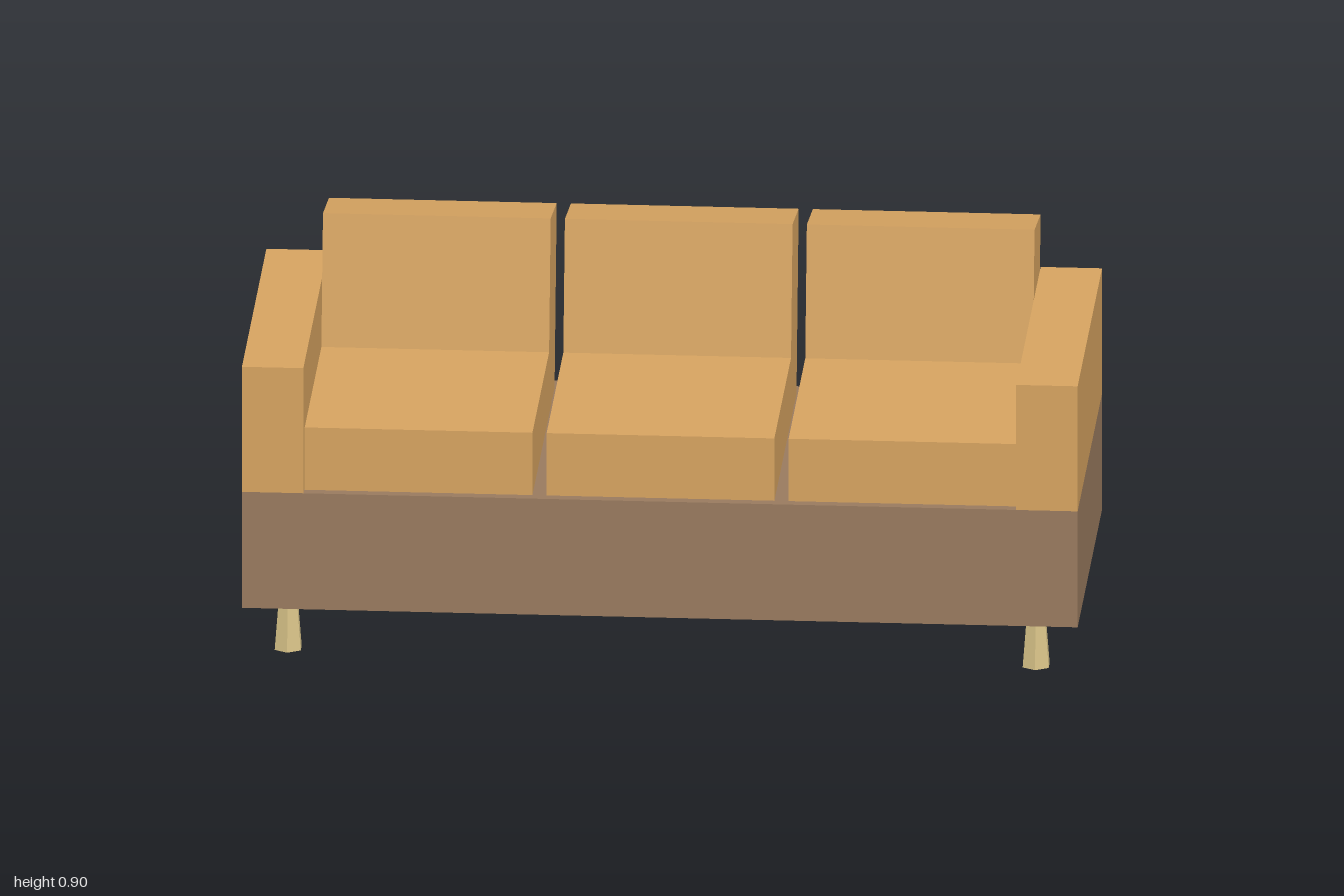
import * as THREE from 'three';

export function createModel() {
  const sofa = new THREE.Group();
  sofa.name = 'sofa';

  const material = (name, color) => {
    const m = new THREE.MeshStandardMaterial({ color });
    m.name = name;
    return m;
  };
  const fabric = material('tan upholstery', 0xd6a360);
  const brown = material('brown base', 0x997a5e);
  const wood = material('pale wood', 0xd8c388);

  const add = (name, geometry, mat, x, y, z) => {
    const mesh = new THREE.Mesh(geometry, mat);
    mesh.name = name;
    mesh.position.set(x, y, z);
    sofa.add(mesh);
    return mesh;
  };

  // Base and arms share the same depth
  const front = 0.43, back = -0.41;
  const depth = front - back, midZ = (front + back) / 2;
  const legTop = 0.128, baseTop = 0.422, armTop = 0.739, armWidth = 0.147;
  add('base', new THREE.BoxGeometry(2, baseTop - legTop, depth), brown,
    0, (baseTop + legTop) / 2, midZ);
  for (const [side, s] of [['left', 1], ['right', -1]]) {
    add(side + 'Arm', new THREE.BoxGeometry(armWidth, armTop - baseTop, depth), fabric,
      s * (1 - armWidth / 2), (armTop + baseTop) / 2, midZ);
  }

  // Three seat cushions and three back cushions leaning backwards
  const cushionWidth = 0.545, pitch = 0.579;
  const seatTop = 0.58, seatFront = 0.405, seatBack = -0.25;
  const tilt = THREE.MathUtils.degToRad(-9.6);
  const backDepth = 0.211, backHeight = 0.46;
  const backGeometry = new THREE.BoxGeometry(cushionWidth, backHeight, backDepth);
  backGeometry.translate(0, -backHeight / 2, -backDepth / 2); // pivot on the top front edge
  ['right', 'middle', 'left'].forEach((place, i) => {
    const x = (i - 1) * pitch;
    add(place + 'SeatCushion',
      new THREE.BoxGeometry(cushionWidth, seatTop - baseTop, seatFront - seatBack), fabric,
      x, (seatTop + baseTop) / 2, (seatFront + seatBack) / 2);
    add(place + 'BackCushion', backGeometry, fabric, x, 0.9, -0.222).rotation.x = tilt;
  });

  // Six-sided legs, wider at the foot
  const legGeometry = new THREE.CylinderGeometry(0.025, 0.036, legTop, 6).toNonIndexed();
  legGeometry.computeVertexNormals();
  for (const [side, x] of [['Left', 0.895], ['Right', -0.895]]) {
    add('front' + side + 'Leg', legGeometry, wood, x, legTop / 2, 0.347);
    add('back' + side + 'Leg', legGeometry, wood, x, legTop / 2, -0.327);
  }

  return sofa;
}
